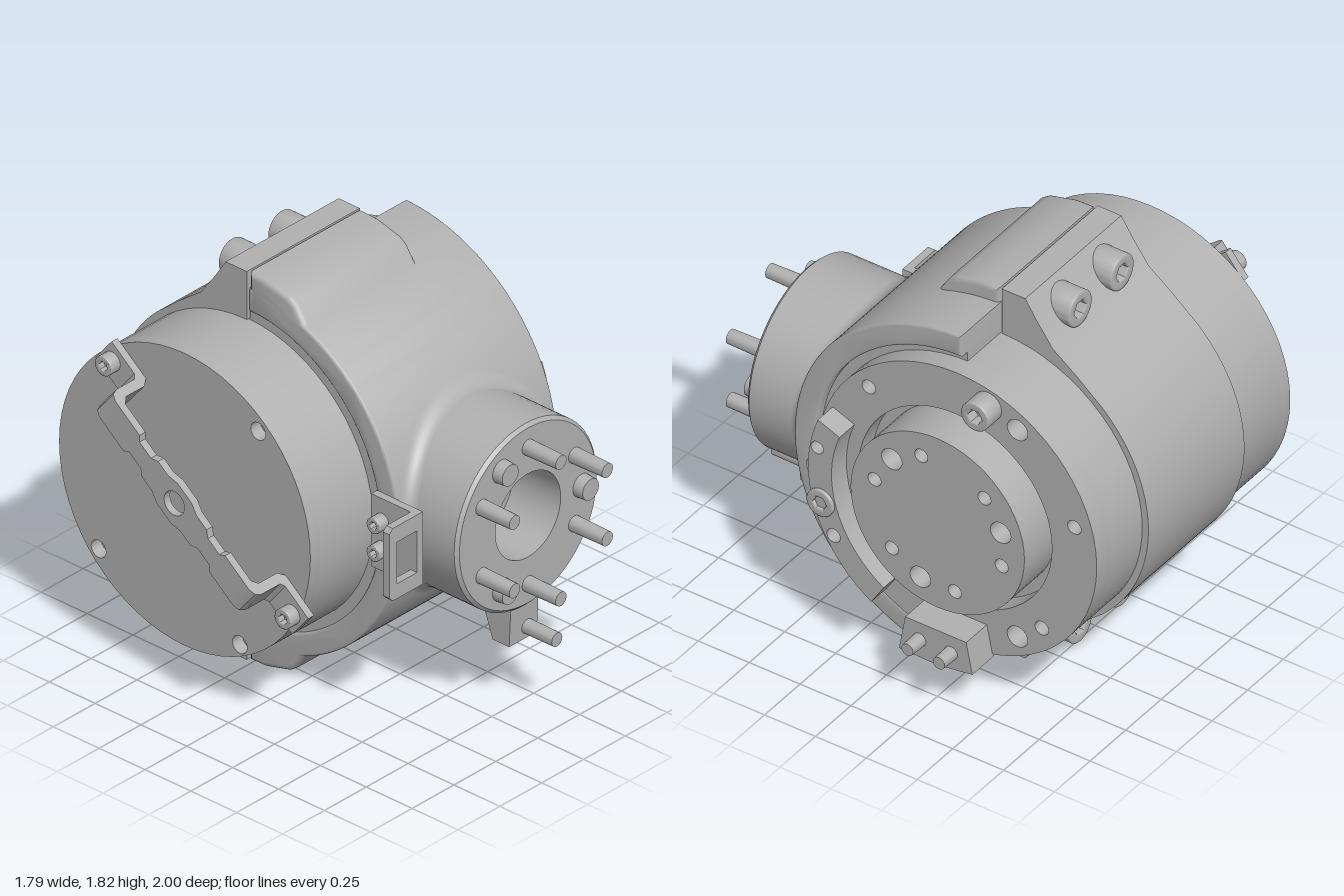
import * as THREE from 'three';
import { toCreasedNormals } from 'three/addons/utils/BufferGeometryUtils.js';

const CY = 0.915, CZ = -0.285; // main axis runs along x through this point
const grey = new THREE.MeshStandardMaterial({ color: 0xb0b0b0 });
grey.name = 'machined grey';

const TURN = { z: 0, x: Math.PI / 2, '-x': -Math.PI / 2, '-z': Math.PI };

function part(parent, name, geometry) {
  const m = new THREE.Mesh(toCreasedNormals(geometry, 0.5), grey);
  m.name = name;
  parent.add(m);
  return m;
}

// Side-view outline from [z, y] points
const outline = pts => new THREE.Shape(pts.map(([z, y]) => new THREE.Vector2(-z, y)));

function disc(z, y, r, Type = THREE.Shape) {
  const s = new Type();
  s.absarc(-z, y, r, 0, Math.PI * 2);
  return s;
}

// Arc points about the main axis, angles in degrees from the front (+z)
function arc(r, a0, a1, n = 40) {
  return Array.from({ length: n + 1 }, (_, i) => {
    const a = THREE.MathUtils.degToRad(a0 + (a1 - a0) * i / n);
    return [CZ + r * Math.cos(a), CY + r * Math.sin(a)];
  });
}

function extrude(shape, depth, bevel = 0) {
  return new THREE.ExtrudeGeometry(shape, {
    depth: depth - 2 * bevel, curveSegments: 32, bevelEnabled: bevel > 0,
    bevelThickness: bevel, bevelSize: bevel, bevelOffset: -bevel, bevelSegments: 4,
  }).translate(0, 0, bevel);
}

// Side-view shape extruded from x0 to x1
const alongX = (shape, x0, x1, bevel) =>
  extrude(shape, x1 - x0, bevel).rotateY(Math.PI / 2).translate(x0, 0, 0);

// Round pin starting at pos and pointing along an axis
function pin(parent, name, r, len, pos, axis) {
  const g = new THREE.CylinderGeometry(r * 0.9, r, len, 24);
  const m = part(parent, name, g.rotateX(Math.PI / 2).translate(0, 0, len / 2));
  m.position.set(...pos);
  m.rotation.y = TURN[axis];
}

// Cap screw head with hexagon socket
function screw(parent, name, r, len, pos, axis) {
  const g = new THREE.Group();
  g.name = name;
  const head = disc(0, 0, r);
  head.holes.push(new THREE.Path(Array.from({ length: 6 }, (_, i) =>
    new THREE.Vector2(Math.cos(i * Math.PI / 3), Math.sin(i * Math.PI / 3)).multiplyScalar(r * 0.5))));
  part(g, 'screwHead', extrude(head, len, r * 0.1));
  part(g, 'socketFloor', new THREE.CircleGeometry(r * 0.7, 24).translate(0, 0, len * 0.5));
  g.position.set(...pos);
  g.rotation.y = TURN[axis];
  parent.add(g);
}

export function createModel() {
  const model = new THREE.Group();
  model.name = 'clampedActuator';

  // Drive housing with bolt holes in the closed end
  part(model, 'housing', alongX(disc(CZ, CY, 0.685), -0.64, 0.56));
  const rear = disc(CZ, CY, 0.685);
  for (const [dz, dy] of [[0.4, 0.48], [0.3, -0.56], [-0.47, -0.42]])
    rear.holes.push(disc(CZ + dz, CY + dy, 0.04, THREE.Path));
  part(model, 'rearCap', alongX(rear, -0.7, -0.64));

  // Output end plate and hub
  const plate = disc(CZ, CY, 0.685);
  plate.holes.push(disc(-0.275, CY, 0.475, THREE.Path));
  for (const [z, y, r] of [[-0.58, 1.44, 0.05], [-0.58, 0.395, 0.05], [0.15, 1.34, 0.033],
    [-0.86, 1.07, 0.033], [-0.7, 0.49, 0.033]]) plate.holes.push(disc(z, y, r, THREE.Path));
  part(model, 'endPlate', alongX(plate, 0.56, 0.66));
  const hub = disc(-0.275, CY, 0.427);
  for (const [z, y, r] of [[-0.05, 1.14, 0.05], [-0.585, 1, 0.05], [-0.19, 0.605, 0.05],
    [-0.195, 1.22, 0.032], [-0.505, 1.14, 0.032], [0.035, 1, 0.032], [-0.59, 0.835, 0.032],
    [-0.05, 0.69, 0.032], [-0.36, 0.605, 0.032]]) hub.holes.push(disc(z, y, r, THREE.Path));
  part(model, 'outputHub', alongX(hub, 0.56, 0.785));
  screw(model, 'plateScrew', 0.068, 0.1, [0.655, 1.5, -0.435], 'x');

  // Curved connector plate on the output end
  const crescent = outline([...arc(0.66, 22, -58, 24), ...arc(0.545, -58, 22, 24)]);
  crescent.holes.push(disc(0.33, 1.02, 0.03, THREE.Path), disc(0.33, 0.915, 0.055, THREE.Path),
    disc(0.25, 0.61, 0.033, THREE.Path));
  part(model, 'connectorPlate', alongX(crescent, 0.655, 0.765));
  screw(model, 'connectorScrew', 0.065, 0.08, [0.7, 0.755, 0.31], 'x');

  // Terminal block with two pins
  part(model, 'terminalBlock', alongX(outline([[-0.13, 0.39], [-0.43, 0.39], [-0.46, 0.24],
    [-0.29, 0.215], [-0.1, 0.22]]), 0.655, 0.805));
  for (const z of [-0.2, -0.355]) pin(model, 'terminalPin', 0.032, 0.09, [0.8, 0.305, z], 'x');

  // Front clamp half
  part(model, 'frontClamp', alongX(outline([...arc(0.835, 89, -89, 64), ...arc(0.73, -89, 89, 64)]),
    -0.335, 0.615, 0.012));
  part(model, 'clampLiner', alongX(outline([...arc(0.74, 89, -89, 64), ...arc(0.67, -89, 89, 64)]),
    -0.325, 0.57));

  // Clamp lugs and cap screws, mirrored top and bottom
  for (const s of [1, -1]) {
    const lug = [[-0.27, 0.91], [-0.18, 0.907], [-0.055, 0.875], [-0.02, 0.85], [0.03, 0.775],
      [0.1, 0.71], [-0.27, 0.72]].map(([z, y]) => [z, CY + s * y]);
    part(model, 'frontLug', alongX(outline(lug), -0.335, 0.345, 0.025));
    for (const x of [-0.145, 0.15])
      screw(model, 'clampScrew', 0.082, 0.165, [x, CY + s * 0.8, -0.37], '-z');
  }

  // Rear clamp half with flanges running into the curved back
  part(model, 'rearClamp', alongX(outline([[-0.28, 1.825], [-0.395, 1.825], [-0.45, 1.74],
    [-0.53, 1.63], [-0.65, 1.54], ...arc(0.715, 132.7, 227.3, 40), [-0.65, 0.29], [-0.53, 0.2],
    [-0.45, 0.09], [-0.395, 0.005], [-0.28, 0.005]]), -0.335, 0.34));

  // Front mounting flange with a central bore
  const profile = [[0.425, 0.2], [0.425, 0.805], [0.41, 0.82], [0.195, 0.82], [0.195, 0.56], [0, 0.56]];
  part(model, 'mountingFlange', new THREE.LatheGeometry(
    profile.map(p => new THREE.Vector2(...p)), 64).rotateX(Math.PI / 2)).position.set(0.14, CY, 0);

  // Fillet where the flange meets the round clamp
  const pos = [], idx = [], N = 64, M = 6, F = 0.048;
  for (let i = 0; i <= N; i++) for (let j = 0; j <= M; j++) {
    const a = i / N * Math.PI * 2, t = j / M * Math.PI / 2;
    const r = 0.425 + F * (1 - Math.sin(t)), y = r * Math.sin(a);
    pos.push(0.14 + r * Math.cos(a), CY + y, CZ + Math.sqrt(0.835 ** 2 - y * y) + F * (1 - Math.cos(t)));
    if (i < N && j < M) {
      const k = i * (M + 1) + j, l = k + M + 1;
      idx.push(k, l, k + 1, l, l + 1, k + 1);
    }
  }
  const fillet = new THREE.BufferGeometry();
  fillet.setAttribute('position', new THREE.Float32BufferAttribute(pos, 3));
  fillet.setIndex(idx);
  part(model, 'flangeFillet', fillet);

  // Six long studs and three short dowels round the flange
  const onFlange = (deg, z) => [0.14 + 0.32 * Math.cos(deg * Math.PI / 180),
    CY + 0.32 * Math.sin(deg * Math.PI / 180), z];
  for (let d = 30; d < 390; d += 60) pin(model, 'flangeStud', 0.036, 0.2, onFlange(d, 0.8), 'z');
  for (const d of [0, 120, 240]) pin(model, 'flangeDowel', 0.054, 0.07, onFlange(d, 0.8), 'z');

  // Forked tab and pin below the flange
  const tab = outline([[0.8, 0.52], [0.63, 0.52], [0.7, 0.32], [0.79, 0.32]]);
  part(model, 'lowerTab', alongX(tab, 0.06, 0.225));
  pin(model, 'lowerPin', 0.035, 0.35, [0.165, 0.375, 0.605], 'z');

  // Angle bracket on the side of the clamp
  const frame = outline([[0.535, 0.765], [0.515, 0.745], [0.335, 0.745], [0.335, 1.085],
    [0.515, 1.085], [0.535, 1.065]]);
  frame.holes.push(new THREE.Path([[-0.49, 0.815], [-0.37, 0.815], [-0.37, 1.01], [-0.49, 1.01]]
    .map(p => new THREE.Vector2(...p))));
  part(model, 'sideBracketFrame', extrude(frame, 0.035).translate(0, 0, 0.645));
  part(model, 'sideBracketLeg', new THREE.BoxGeometry(0.035, 0.34, 0.24).translate(-0.3525, CY, 0.55));
  for (const y of [0.85, 0.98]) screw(model, 'sideBracketScrew', 0.036, 0.06, [-0.365, y, 0.49], '-x');

  // Slanted strap across the closed end
  const strap = new THREE.Group();
  strap.name = 'rearStrap';
  strap.position.set(0, 1.035, -0.16);
  strap.rotation.x = -0.89;
  model.add(strap);
  const edge = [[0.07, -0.4], [0.07, -0.3], [0.045, -0.28], [0.045, -0.2], [0.07, -0.17], [0.07, -0.1],
    [0.09, -0.05], [0.09, 0.05], [0.07, 0.1], [0.07, 0.17], [0.045, 0.2], [0.045, 0.28], [0.07, 0.3],
    [0.07, 0.4]];
  const web = outline([...edge, ...edge.map(([z, y]) => [-z, -y])]);
  web.holes.push(disc(0, 0, 0.055, THREE.Path));
  part(strap, 'strapWeb', alongX(web, -0.9, -0.865));
  const end = [[-0.9, 0.4], [-0.9, 0.47], [-0.888, 0.498], [-0.86, 0.51], [-0.75, 0.51], [-0.735, 0.53],
    [-0.735, 0.69], [-0.7, 0.69], [-0.7, 0.49], [-0.73, 0.465], [-0.84, 0.465], [-0.865, 0.44], [-0.865, 0.4]];
  for (const s of [1, -1]) {
    const foot = new THREE.Shape(end.map(([x, y]) => new THREE.Vector2(x, s * y)));
    part(strap, 'strapFoot', extrude(foot, 0.14).translate(0, 0, -0.07));
    screw(strap, 'strapScrew', 0.045, 0.06, [-0.73, s * 0.63, 0], '-x');
  }
  return model;
}
